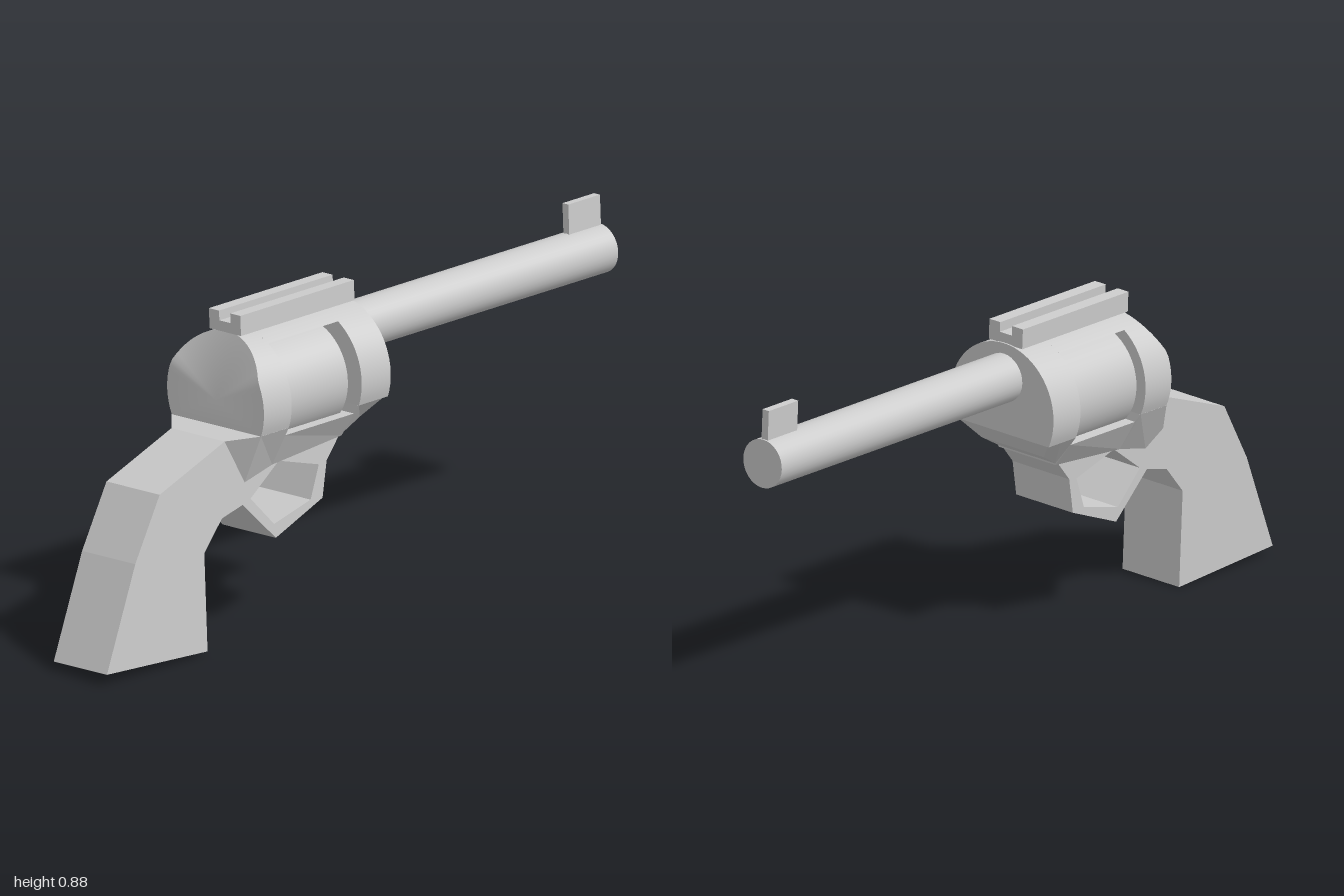
import * as THREE from 'three';
import { toCreasedNormals } from 'three/addons/utils/BufferGeometryUtils.js';

const AXIS = 0.65; // height of the cylinder axis
const material = new THREE.MeshStandardMaterial({ color: 0xcccccc });
const flat = new THREE.MeshStandardMaterial({ color: 0xcccccc, flatShading: true });

const toShape = (pts) => new THREE.Shape(pts.map(([a, b]) => new THREE.Vector2(a, b)));

// Cylinder along z between two depths
function rod(radius, z0, z1, y, segments = 48) {
  return new THREE.CylinderGeometry(radius, radius, z1 - z0, segments)
    .rotateX(Math.PI / 2).translate(0, y, (z0 + z1) / 2);
}

// Frame disc with a flat underside and an optional leaning upper back
function frameDisc(z0, z1, lean) {
  const g = rod(0.182, z0, z1, AXIS, 64);
  const p = g.attributes.position;
  for (let i = 0; i < p.count; i++) {
    const y = Math.max(p.getY(i), 0.58);
    p.setY(i, y);
    if (p.getZ(i) > z1 - 0.001) p.setZ(i, z1 - lean * Math.max(0, y - 0.73));
  }
  return toCreasedNormals(g, 0.5);
}

// Loft through four-cornered sections: [z, top half width, top y, bottom half width, bottom y]
function loft(sections) {
  const pos = [], index = [];
  sections.forEach(([z, wt, yt, wb, yb]) =>
    pos.push(-wt, yt, z, -wb, yb, z, wb, yb, z, wt, yt, z));
  for (let s = 0; s < sections.length - 1; s++) {
    for (let i = 0; i < 4; i++) {
      const a = s * 4 + i, b = s * 4 + (i + 1) % 4;
      index.push(a, a + 4, b, b, a + 4, b + 4);
    }
  }
  const e = (sections.length - 1) * 4;
  index.push(0, 1, 2, 0, 2, 3, e, e + 2, e + 1, e, e + 3, e + 2);
  const g = new THREE.BufferGeometry();
  g.setAttribute('position', new THREE.Float32BufferAttribute(pos, 3));
  g.setIndex(index);
  const out = g.toNonIndexed();
  out.computeVertexNormals();
  return out;
}

export function createModel() {
  const model = new THREE.Group();
  const body = new THREE.Group();
  body.name = 'body';
  model.add(body);
  const add = (name, geometry, mat = material) => {
    const mesh = new THREE.Mesh(geometry, mat);
    mesh.name = name;
    body.add(mesh);
  };

  // Grip, lower frame and trigger guard share one side profile (z, y)
  const profile = toShape([
    [1, 0.03], [0.88, 0.31], [0.78, 0.48], [0.53, 0.57], [0.45, 0.57], [0.35, 0.54],
    [0.09, 0.54], [0.09, 0.5], [0.15, 0.43], [0.17, 0.33], [0.35, 0.26], [0.47, 0.38],
    [0.55, 0.36], [0.62, 0.28], [0.62, 0.007],
  ]);
  profile.holes.push(toShape([
    [0.44, 0.39], [0.355, 0.30], [0.215, 0.335], [0.18, 0.425], [0.33, 0.47],
  ]));
  add('gripAndTriggerGuard',
    new THREE.ExtrudeGeometry(profile, { depth: 0.2, bevelEnabled: false })
      .rotateY(-Math.PI / 2).translate(0.1, 0, 0), flat);

  // Flared underside joining the discs to the grip
  add('lowerFrame', loft([
    [0.53, 0.1, 0.57, 0.1, 0.48],
    [0.46, 0.168, 0.58, 0.1, 0.44],
    [0.355, 0.168, 0.58, 0.1, 0.465],
    [0.354, 0.15, 0.555, 0.1, 0.465],
    [0.091, 0.15, 0.555, 0.1, 0.485],
    [0.09, 0.168, 0.58, 0.1, 0.49],
    [0.03, 0.168, 0.585, 0.11, 0.525],
    [-0.015, 0.168, 0.59, 0.16, 0.58],
  ]), flat);

  // Front and rear frame discs
  add('rearFrame', frameDisc(0.355, 0.46, 0.5));
  add('frontFrame', frameDisc(-0.02, 0.09, 0));

  // Strap over the drum
  const half = Math.asin(0.1 / 0.182);
  const strap = new THREE.Shape();
  strap.absarc(0, 0, 0.182, Math.PI / 2 - half, Math.PI / 2 + half, false);
  add('topStrap', toCreasedNormals(
    new THREE.ExtrudeGeometry(strap, { depth: 0.265, bevelEnabled: false, curveSegments: 16 })
      .translate(0, AXIS, 0.09), 0.5));

  // Drum and barrel
  add('drum', rod(0.15, 0.11, 0.356, AXIS));
  add('barrel', rod(0.068, -1, 0, 0.735, 32));

  // Grooved rear sight rail and front sight blade
  const rail = toShape([
    [-0.059, 0.829], [0.059, 0.829], [0.059, 0.885], [0.021, 0.885],
    [0.021, 0.858], [-0.021, 0.858], [-0.021, 0.885], [-0.059, 0.885],
  ]);
  add('sightRail', new THREE.ExtrudeGeometry(rail, { depth: 0.43, bevelEnabled: false })
    .translate(0, 0, -0.015), flat);
  add('frontSight', new THREE.BoxGeometry(0.022, 0.095, 0.12).translate(0, 0.838, -0.935), flat);

  // Slight roll about the drum axis
  const roll = 0.045;
  body.rotation.z = roll;
  body.position.set(AXIS * Math.sin(roll), AXIS * (1 - Math.cos(roll)), 0);
  body.position.x -= 0.002;
  return model;
}
